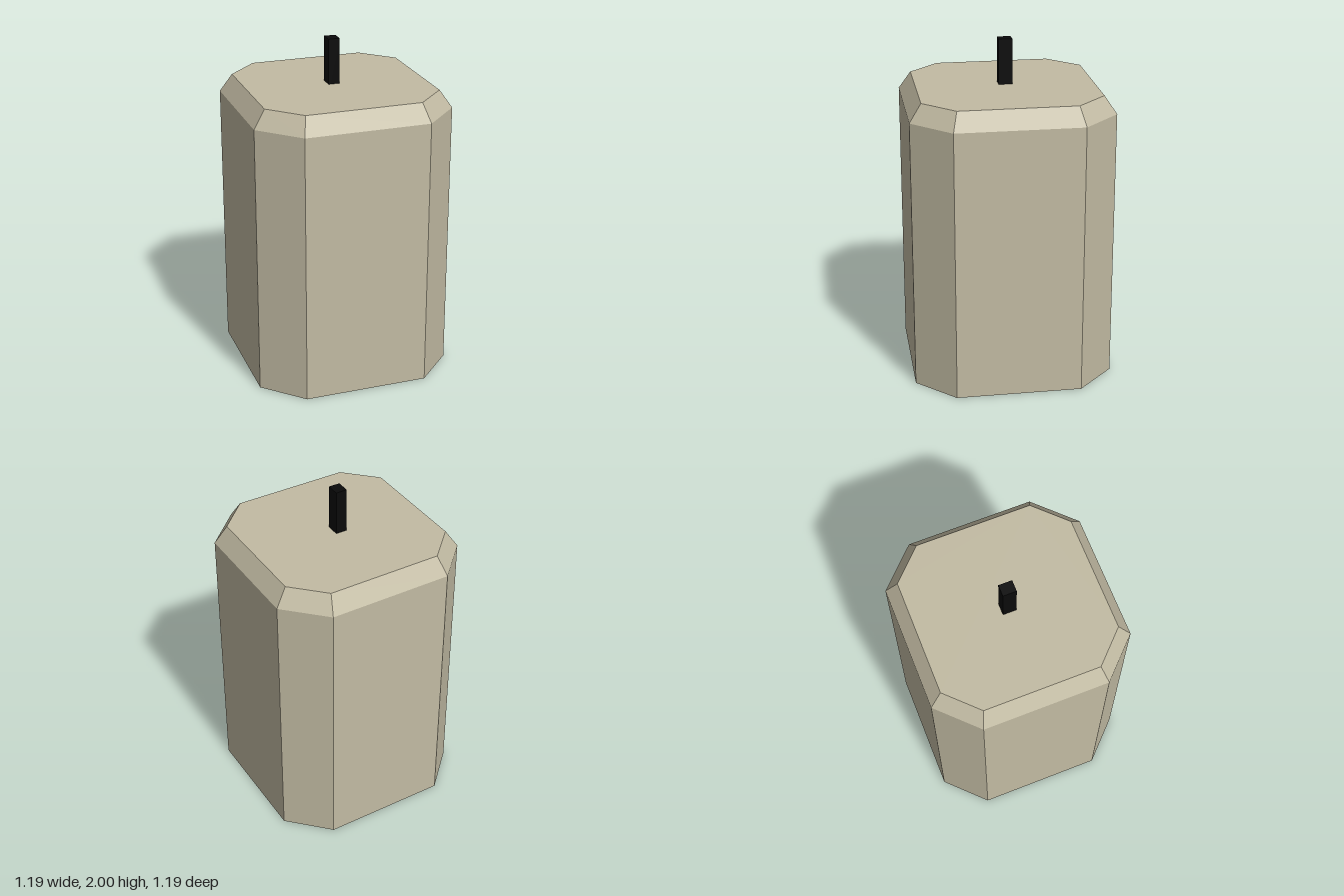
import * as THREE from 'three';

const wax = new THREE.MeshStandardMaterial({ color: 0xc2bba3 });
wax.name = 'wax';
const black = new THREE.MeshStandardMaterial({ color: 0x0a0a0a });
black.name = 'wickBlack';

// Square with cut corners: a = half width, c = half length of the flat sides
function ring(a, c, y) {
  return [[a, c], [c, a], [-c, a], [-a, c], [-a, -c], [-c, -a], [c, -a], [a, -c]]
    .map(([x, z]) => [x, y, z]);
}

// Flat-faced solid through stacked rings, capped at both ends
function loft(rings) {
  const pos = [];
  const tri = (...pts) => pts.forEach((p) => pos.push(...p));
  const n = rings[0].length;
  for (let r = 0; r < rings.length - 1; r++) {
    const lo = rings[r], hi = rings[r + 1];
    for (let i = 0; i < n; i++) {
      const j = (i + 1) % n;
      tri(lo[i], hi[i], hi[j]);
      tri(lo[i], hi[j], lo[j]);
    }
  }
  const bottom = rings[0], top = rings[rings.length - 1];
  for (let i = 1; i < n - 1; i++) {
    tri(bottom[0], bottom[i], bottom[i + 1]);
    tri(top[0], top[i + 1], top[i]);
  }
  const geo = new THREE.BufferGeometry();
  geo.setAttribute('position', new THREE.Float32BufferAttribute(pos, 3));
  geo.computeVertexNormals();
  return geo;
}

export function createModel() {
  const group = new THREE.Group();
  group.name = 'candle';

  // Eight-sided body with a bevelled shoulder
  const body = new THREE.Mesh(
    loft([ring(0.593, 0.371, 0), ring(0.593, 0.371, 1.625), ring(0.523, 0.343, 1.73)]), wax);
  body.name = 'candleBody';
  group.add(body);

  // Square wick, slightly off centre, set into the body
  const wick = new THREE.Mesh(new THREE.BoxGeometry(0.068, 0.32, 0.08), black);
  wick.position.set(-0.011, 1.84, -0.003);
  wick.name = 'wick';
  group.add(wick);

  return group;
}
